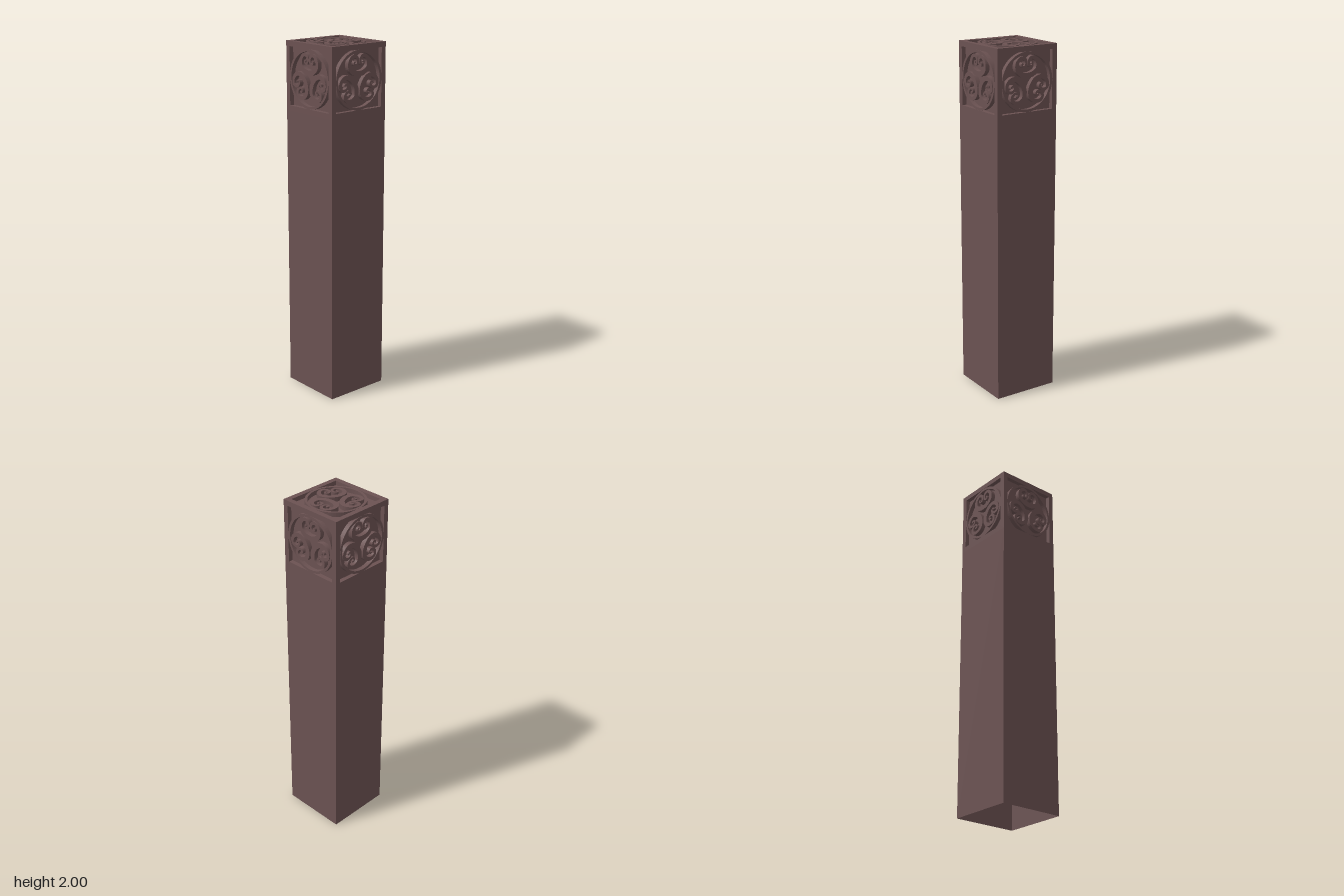
import * as THREE from 'three';

const HALF = 0.191;     // half width of the post
const OPENING = 0.162;  // half width of the recessed panels
const DEPTH = 0.025;    // depth of the recess
const BLOCK_Y = 2 - HALF;

const material = new THREE.MeshStandardMaterial({ color: 0x6b5252 });
const wallMaterial = new THREE.MeshStandardMaterial({
  color: 0x6b5252, side: THREE.DoubleSide, flatShading: true,
});

function square(h, Type = THREE.Shape) {
  return new Type([[-h, -h], [h, -h], [h, h], [-h, h]].map(([x, y]) => new THREE.Vector2(x, y)));
}

function extrude(shape) {
  return new THREE.ExtrudeGeometry(shape, { depth: DEPTH, bevelEnabled: false, curveSegments: 40 });
}

// Scrolled band: a mirrored centreline whose third number is the half width
function scrollShape() {
  const half = [
    [-0.036, 0.042, 0.014], [-0.063, 0.065, 0.012], [-0.067, 0.095, 0.011],
    [-0.053, 0.121, 0.010], [-0.031, 0.130, 0.009], [-0.013, 0.119, 0.008],
    [-0.008, 0.100, 0.007], [-0.016, 0.084, 0.006], [-0.030, 0.083, 0.005],
    [-0.034, 0.094, 0.005], [-0.027, 0.101, 0.005],
  ];
  const points = [
    ...half.slice().reverse(),
    [0, 0.035, 0.014],
    ...half.map(([x, y, w]) => [-x, y, w]),
  ].map((p) => new THREE.Vector3(...p));
  const curve = new THREE.CatmullRomCurve3(points);
  const outer = [], inner = [];
  const steps = 110;
  for (let i = 0; i <= steps; i++) {
    const p = curve.getPoint(i / steps);
    const t = curve.getTangent(i / steps);
    const n = new THREE.Vector2(-t.y, t.x).normalize();
    outer.push(new THREE.Vector2(p.x - n.x * p.z, p.y - n.y * p.z));
    inner.push(new THREE.Vector2(p.x + n.x * p.z, p.y + n.y * p.z));
  }
  return new THREE.Shape([...outer, ...inner.reverse()]);
}

export function createModel() {
  const model = new THREE.Group();
  model.name = 'carvedPost';

  function add(parent, name, geometry, mat = material) {
    const mesh = new THREE.Mesh(geometry, mat);
    mesh.name = name;
    parent.add(mesh);
    return mesh;
  }

  // Hollow shaft, open at the bottom
  const shaftHeight = 2 - 2 * HALF;
  const shaftGeometry = new THREE.CylinderGeometry(
    HALF * Math.SQRT2, HALF * Math.SQRT2, shaftHeight, 4, 1, true);
  shaftGeometry.rotateY(Math.PI / 4);
  add(model, 'shaft', shaftGeometry, wallMaterial).position.y = shaftHeight / 2;

  // Core of the top block, forming the floors of the recesses
  const core = 2 * (HALF - DEPTH);
  add(model, 'blockCore', new THREE.BoxGeometry(core, core, core)).position.y = BLOCK_Y;

  // Shared carving geometries
  const frame = square(HALF);
  frame.holes.push(square(OPENING, THREE.Path));
  const frameGeometry = extrude(frame);

  const ring = new THREE.Shape().absarc(0, 0, OPENING, 0, Math.PI * 2);
  ring.holes.push(new THREE.Path().absarc(0, 0, 0.148, 0, Math.PI * 2, true));
  const ringGeometry = extrude(ring);

  const scrollGeometry = extrude(scrollShape());

  // One carved panel on each side and one on top
  const faces = [
    ['frontPanel', 0, 0], ['leftPanel', 0, Math.PI / 2], ['backPanel', 0, Math.PI],
    ['rightPanel', 0, -Math.PI / 2], ['topPanel', -Math.PI / 2, 0],
  ];
  for (const [name, rx, ry] of faces) {
    const panel = new THREE.Group();
    panel.name = name;
    panel.rotation.set(rx, ry, 0);
    panel.position.set(0, 0, HALF - DEPTH).applyEuler(panel.rotation);
    panel.position.y += BLOCK_Y;
    add(panel, 'frame', frameGeometry);
    add(panel, 'ring', ringGeometry);
    for (let i = 0; i < 3; i++) {
      add(panel, 'scroll', scrollGeometry).rotation.z = (i * Math.PI * 2) / 3;
    }
    model.add(panel);
  }

  return model;
}
